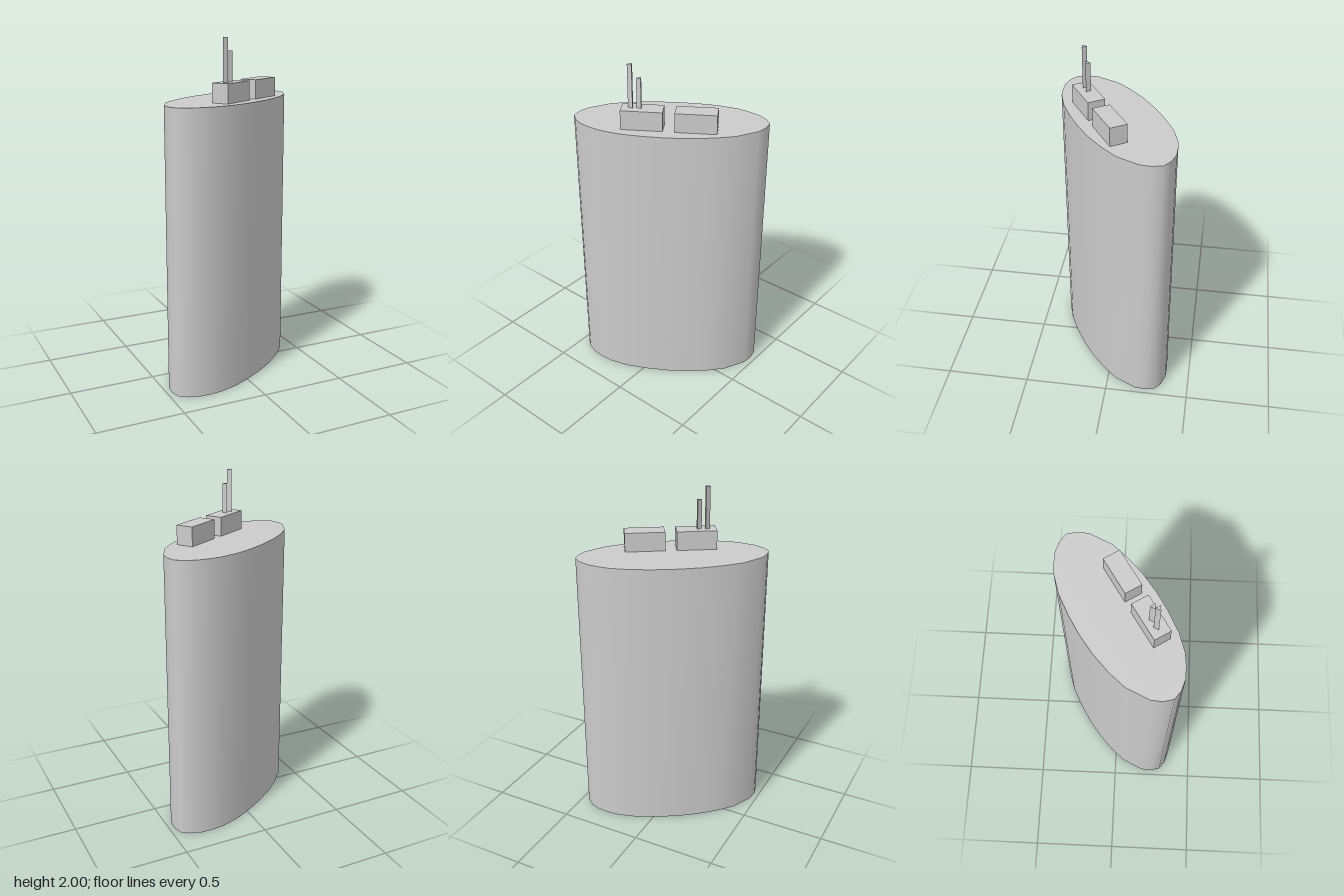
import * as THREE from 'three';
import { mergeVertices } from 'three/addons/utils/BufferGeometryUtils.js';

const TILT = THREE.MathUtils.degToRad(32.7); // turn of the oval and its blocks
const BODY_TOP = 1.645;
const BLOCK_TOP = 1.755;

// Half of the oval outline as [x, z]; the other half is its point reflection
const HALF = [
  [0.02, 0.263], [0.13, 0.197], [0.235, 0.12], [0.33, 0.033], [0.405, -0.053],
  [0.465, -0.18], [0.47, -0.245], [0.455, -0.303], [0.41, -0.337], [0.345, -0.358],
  [0.275, -0.36], [0.207, -0.354], [0.095, -0.32],
];
const OUTLINE = [...HALF, ...HALF.map(([x, z]) => [-x, -z])];

// Smooth oval wall: an open cylinder with its rings moved onto the outline
function wallGeometry() {
  const n = OUTLINE.length;
  const geo = new THREE.CylinderGeometry(1, 1, BODY_TOP, n, 1, true);
  const pos = geo.attributes.position;
  for (let i = 0; i < pos.count; i++) {
    const [x, z] = OUTLINE[(i % (n + 1)) % n];
    pos.setXYZ(i, x, pos.getY(i) + BODY_TOP / 2, z);
  }
  geo.deleteAttribute('uv');
  geo.deleteAttribute('normal');
  const welded = mergeVertices(geo);
  welded.computeVertexNormals();
  return welded;
}

export function createModel() {
  const model = new THREE.Group();
  model.name = 'ovalCanister';
  const smooth = new THREE.MeshStandardMaterial({ color: 0xcccccc, side: THREE.DoubleSide });
  const flat = new THREE.MeshStandardMaterial({ color: 0xcccccc, flatShading: true });

  const add = (name, geometry, material, x = 0, y = 0, z = 0) => {
    const mesh = new THREE.Mesh(geometry, material);
    mesh.name = name;
    mesh.position.set(x, y, z);
    model.add(mesh);
    return mesh;
  };

  // Body: hollow wall, open below, closed by a flat lid
  add('bodyWall', wallGeometry(), smooth);
  const lidShape = new THREE.Shape(OUTLINE.map(([x, z]) => new THREE.Vector2(x, -z)));
  add('lid', new THREE.ShapeGeometry(lidShape).rotateX(-Math.PI / 2), smooth, 0, BODY_TOP, 0);

  // Two blocks standing on the lid
  const blockHeight = BLOCK_TOP - BODY_TOP;
  for (const [name, x, z] of [['rightBlock', -0.06, 0.17], ['leftBlock', 0.19, 0.0125]]) {
    const block = add(name, new THREE.BoxGeometry(0.23, blockHeight, 0.102), flat,
      x, BODY_TOP + blockHeight / 2, z);
    block.rotation.y = TILT;
  }

  // Two three-sided pins on the right block
  for (const [name, x, z, top] of [['tallPin', -0.113, 0.2, 2], ['shortPin', -0.073, 0.175, 1.925]]) {
    const height = top - BLOCK_TOP;
    const pin = new THREE.CylinderGeometry(0.0175, 0.0175, height, 3, 1, false, Math.PI * 1.03);
    add(name, pin, flat, x, BLOCK_TOP + height / 2, z);
  }
  return model;
}
